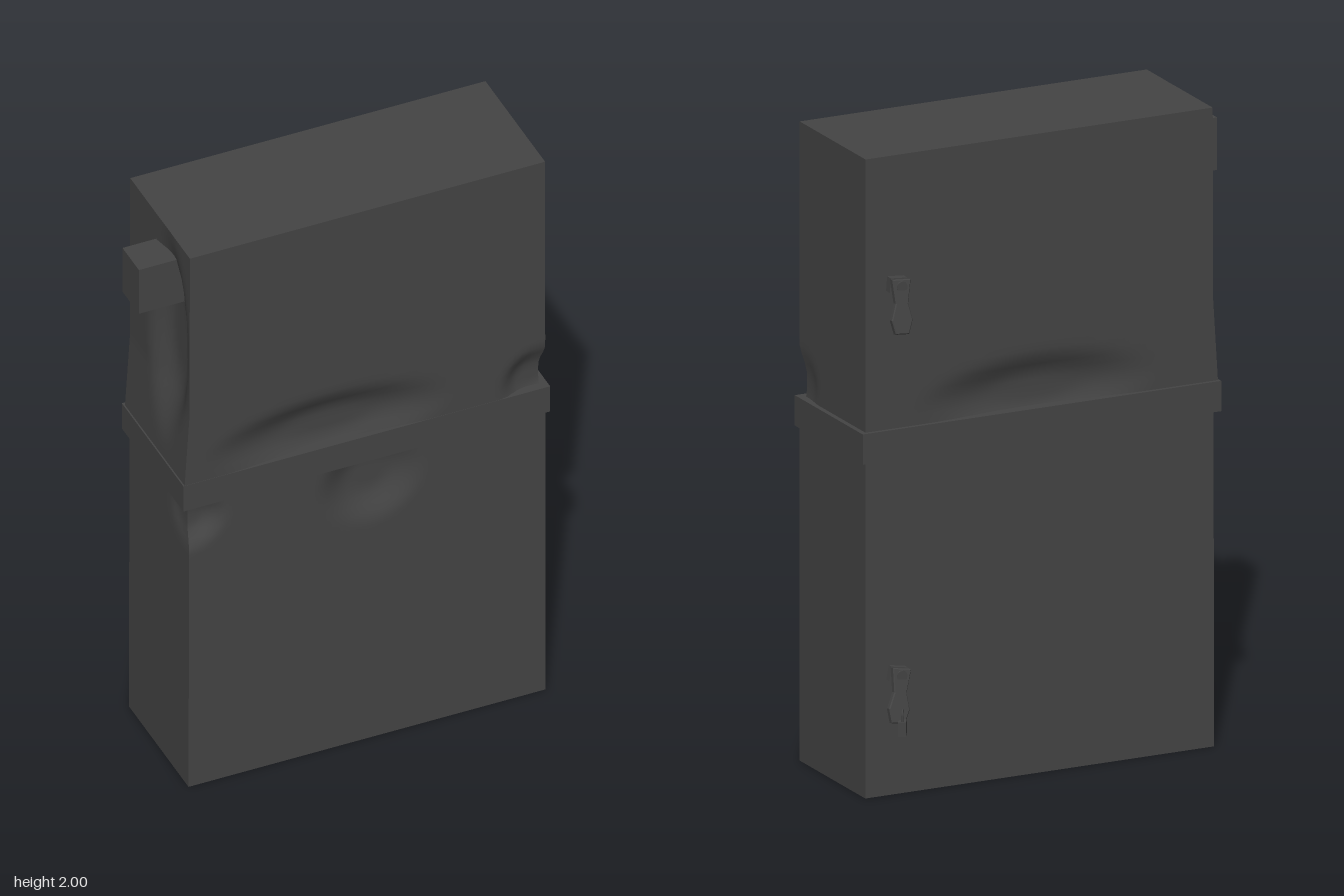
import * as THREE from 'three';

const material = new THREE.MeshStandardMaterial({ color: 0x444444, roughness: 0.8 });

function addMesh(parent, name, geometry, x = 0, y = 0, z = 0) {
  const mesh = new THREE.Mesh(geometry, material);
  mesh.name = name;
  mesh.position.set(x, y, z);
  parent.add(mesh);
  return mesh;
}

// Dents in the sheet metal: centre, radii, push direction with depth
const dents = [
  { c: [-0.08, 1.22, 0.26], r: [0.42, 0.13, 0.2], push: [0, 0, -0.035] },
  { c: [0.06, 0.98, 0.26], r: [0.18, 0.17, 0.2], push: [0, 0, -0.035] },
  { c: [-0.53, 1.0, 0.26], r: [0.12, 0.11, 0.15], push: [0.01, 0, -0.035] },
  { c: [0.6, 1.19, 0.26], r: [0.12, 0.12, 0.14], push: [-0.01, 0, -0.03] },
  { c: [0.05, 1.2, -0.17], r: [0.42, 0.12, 0.2], push: [0, 0, 0.03] },
  { c: [-0.54, 1.6, 0.11], r: [0.1, 0.42, 0.15], push: [0.045, 0, 0] },
];

// Tall body: a subdivided box, slightly out of true and dented around the band
function bodyGeometry() {
  const geo = new THREE.BoxGeometry(1.17, 2, 0.436, 48, 80, 18);
  geo.translate(0.045, 1, 0.045);
  const p = geo.attributes.position;
  const v = new THREE.Vector3();
  for (let i = 0; i < p.count; i++) {
    v.fromBufferAttribute(p, i);
    const { x, y, z } = v;
    v.z += 0.005 * (y - 1);
    if (x > 0) v.x += 0.003 * (1 - y);
    // right wall flares out towards the band
    if (x < -0.5 && y > 1.1) v.x -= 0.018 * Math.max(0, 1 - (y - 1.1) / 0.3);
    for (const { c, r, push } of dents) {
      const d = Math.hypot((x - c[0]) / r[0], (y - c[1]) / r[1], (z - c[2]) / r[2]);
      if (d >= 1) continue;
      const k = THREE.MathUtils.smoothstep(1 - d, 0, 0.7);
      v.x += push[0] * k;
      v.z += push[2] * k;
    }
    p.setXYZ(i, v.x, v.y, v.z);
  }
  geo.computeVertexNormals();
  return geo;
}

function rectangle(path, x0, x1, y0, y1) {
  path.moveTo(x0, y0);
  path.lineTo(x1, y0);
  path.lineTo(x1, y1);
  path.lineTo(x0, y1);
  path.closePath();
  return path;
}

// Bent swivel handle on the back: base, neck, winged grip and lever
function latch(name, y, tilt) {
  const g = new THREE.Group();
  g.name = name;
  g.position.set(0.53, y, -0.17);
  g.rotation.z = tilt;
  addMesh(g, 'latchBase', new THREE.BoxGeometry(0.055, 0.045, 0.03), 0, 0, -0.01);
  const neck = addMesh(g, 'latchNeck', new THREE.CylinderGeometry(0.018, 0.018, 0.04, 10), 0, 0, -0.03);
  neck.rotation.x = Math.PI / 2;
  const profile = new THREE.Shape();
  profile.moveTo(-0.028, 0.02);
  profile.lineTo(0.028, 0.02);
  profile.lineTo(0.018, -0.05);
  profile.lineTo(0.032, -0.1);
  profile.lineTo(0.02, -0.14);
  profile.lineTo(-0.02, -0.14);
  profile.lineTo(-0.032, -0.1);
  profile.lineTo(-0.018, -0.05);
  profile.closePath();
  const lever = addMesh(g, 'latchLever', new THREE.ExtrudeGeometry(profile, {
    depth: 0.014, bevelEnabled: true, bevelSize: 0.003, bevelThickness: 0.003, bevelSegments: 1,
  }), 0, 0, -0.045);
  lever.rotation.x = 0.2;
  return g;
}

// Padlock with a square-section body and a round shackle
function padlock() {
  const g = new THREE.Group();
  g.name = 'padlock';
  g.position.set(0.545, 0.23, -0.25);
  g.rotation.y = Math.PI / 3;
  addMesh(g, 'padlockBody', new THREE.BoxGeometry(0.042, 0.045, 0.024));
  addMesh(g, 'padlockShackle', new THREE.TorusGeometry(0.015, 0.004, 6, 14, Math.PI), 0, 0.04, 0);
  for (const s of [-1, 1]) {
    addMesh(g, 'shackleLeg', new THREE.CylinderGeometry(0.004, 0.004, 0.025, 6), s * 0.015, 0.029, 0);
  }
  return g;
}

export function createModel() {
  const model = new THREE.Group();
  model.name = 'metalCabinet';
  addMesh(model, 'body', bodyGeometry());

  // Band around the middle
  const ring = rectangle(new THREE.Shape(), -0.56, 0.645, -0.265, 0.185);
  ring.holes.push(rectangle(new THREE.Path(), -0.47, 0.56, -0.18, 0.1));
  const band = new THREE.ExtrudeGeometry(ring, { depth: 0.095, bevelEnabled: false });
  band.rotateX(-Math.PI / 2);
  addMesh(model, 'band', band, 0, 1.05, 0);

  // Outlet box on the right wall
  addMesh(model, 'outletBox', new THREE.BoxGeometry(0.18, 0.165, 0.12), -0.56, 1.82, 0.08);

  model.add(latch('upperLatch', 1.6, 0.08), latch('lowerLatch', 0.38, 0.18), padlock());
  return model;
}
